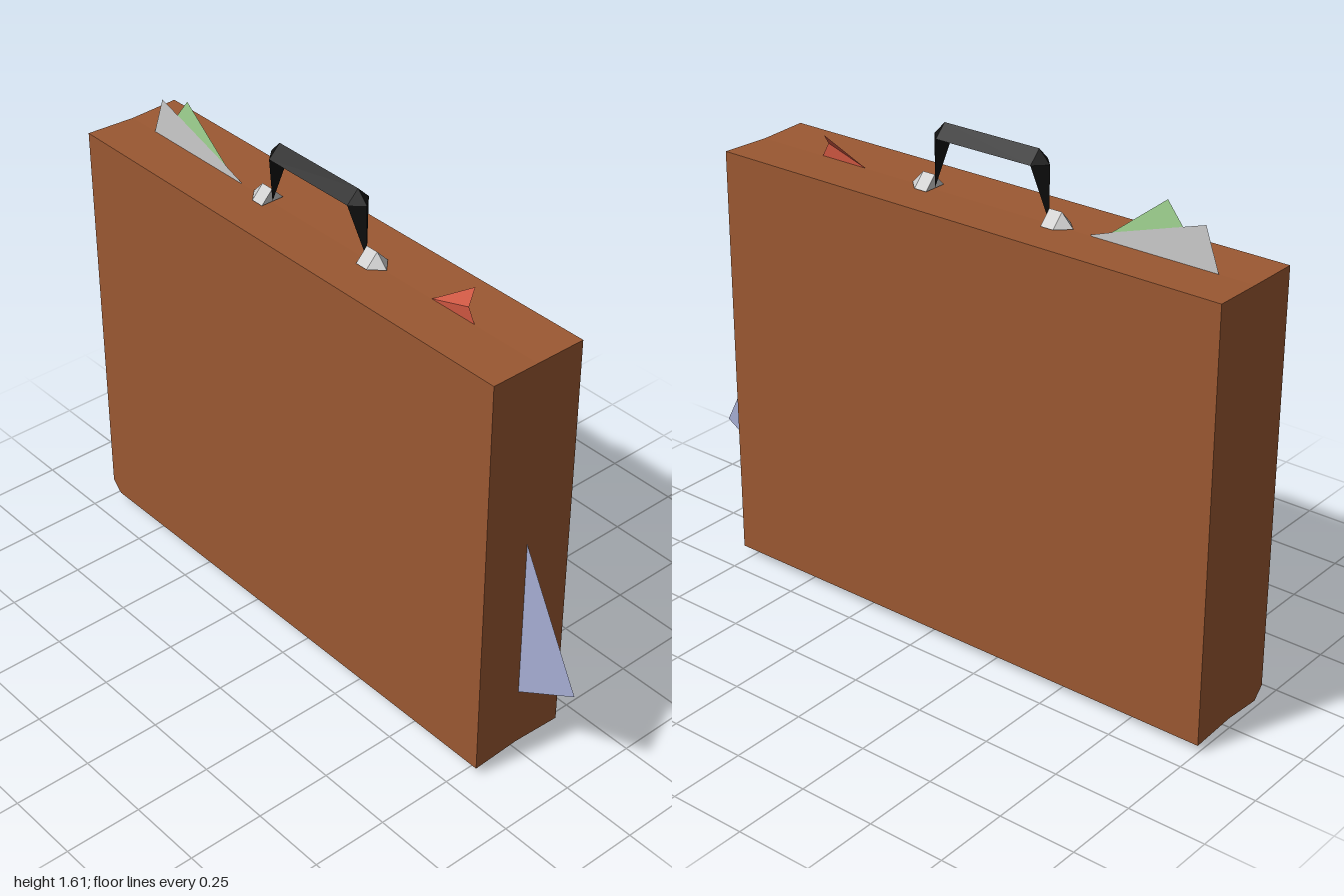
import * as THREE from 'three';
import { ConvexGeometry } from 'three/addons/geometries/ConvexGeometry.js';

const CX = -0.107; // middle of the case in x
const HALF_W = 0.893, HALF_D = 0.165, BOTTOM = 0.025, TOP = 1.395;

const material = (color, side = THREE.FrontSide) =>
  new THREE.MeshStandardMaterial({ color, side, flatShading: true });

const leather = material(0x9b5832);
const black = material(0x111111);
const metal = material(0xcccccc);

function add(parent, name, geometry, mat) {
  const mesh = new THREE.Mesh(geometry, mat);
  mesh.name = name;
  parent.add(mesh);
  return mesh;
}

// Closed faceted solid around a few corner points
const hull = (points) => new ConvexGeometry(points.map((p) => new THREE.Vector3(...p)));

// Flat sheet of paper standing in the seam of the case
function paper(parent, name, outline, color) {
  const shape = new THREE.Shape(outline.map(([x, y]) => new THREE.Vector2(x, y)));
  return add(parent, name, new THREE.ShapeGeometry(shape), material(color, THREE.DoubleSide));
}

export function createModel() {
  const model = new THREE.Group();
  model.name = 'briefcase';

  // Case: two shells meeting at a very shallow seam
  const inset = 0.004, cut = 0.036;
  const ring = (z, d) => [
    [CX - HALF_W + d, BOTTOM + d, z], [CX + HALF_W - d, BOTTOM + d, z],
    [CX + HALF_W - d, TOP - d, z], [CX - HALF_W + d, TOP - d, z],
  ];
  const seam = ring(0, inset);
  const left = CX - HALF_W;
  // The front shell has one clipped bottom corner
  const front = [
    ...ring(HALF_D, 0).slice(1),
    [left, BOTTOM + cut, HALF_D], [left + cut, BOTTOM, HALF_D], [left, BOTTOM, HALF_D - cut],
  ];
  add(model, 'frontShell', hull([...front, ...seam]), leather);
  add(model, 'backShell', hull([...ring(-HALF_D, 0), ...seam]), leather);

  // Handle grip: triangular bar
  const gripX = 0.17, legX = 0.208, gripY = 1.565, gripTop = 1.605, r = 0.04;
  const gripEnd = (s) => [
    [CX + s * gripX, gripTop, 0], [CX + s * gripX, gripY, r], [CX + s * gripX, gripY, -r],
  ];
  add(model, 'handleGrip', hull([...gripEnd(-1), ...gripEnd(1)]), black);

  for (const s of [-1, 1]) {
    const side = s < 0 ? 'Right' : 'Left';

    // Handle leg tapering to a point
    add(model, 'handleLeg' + side, hull([
      ...gripEnd(s), [CX + s * legX, gripY, 0], [CX + s * legX, TOP, 0],
    ]), black);

    // Ridged metal bracket with a pointed outer end
    const x0 = CX + s * legX, x1 = CX + s * 0.252, tip = CX + s * 0.293;
    add(model, 'handleBracket' + side, hull([
      [x0, TOP, r], [x0, TOP, -r], [x0, TOP + 0.042, 0],
      [x1, TOP, r], [x1, TOP, -r], [x1, TOP + 0.042, 0],
      [tip, TOP, 0],
    ]), metal);

    // Foot
    const foot = add(model, 'foot' + side, new THREE.BoxGeometry(0.038, 0.03, 0.166), metal);
    foot.position.set(CX + s * 0.668, 0.015, 0);
  }

  // Papers sticking out of the seam
  paper(model, 'greyPaper',
    [[-0.883, 1.388], [-0.46, 1.388], [-0.46, 1.395], [-0.53, 1.42], [-0.835, 1.52]], 0xcccccc);
  paper(model, 'greenPaper', [[-0.53, 1.42], [-0.71, 1.562], [-0.762, 1.496]], 0xa2d693);
  paper(model, 'bluePaper', [[0.78, 0.785], [0.78, 0.226], [1, 0.358]], 0xa6aed4);

  // Red paper with its upper flap folded backwards
  const red = new THREE.BufferGeometry();
  red.setAttribute('position', new THREE.Float32BufferAttribute([
    0.37, 1.392, 0, 0.54, 1.392, 0, 0.516, 1.437, 0,
    0.37, 1.392, 0, 0.516, 1.437, 0, 0.5, 1.477, -0.037,
  ], 3));
  red.computeVertexNormals();
  add(model, 'redPaper', red, material(0xcc5540, THREE.DoubleSide));

  return model;
}
